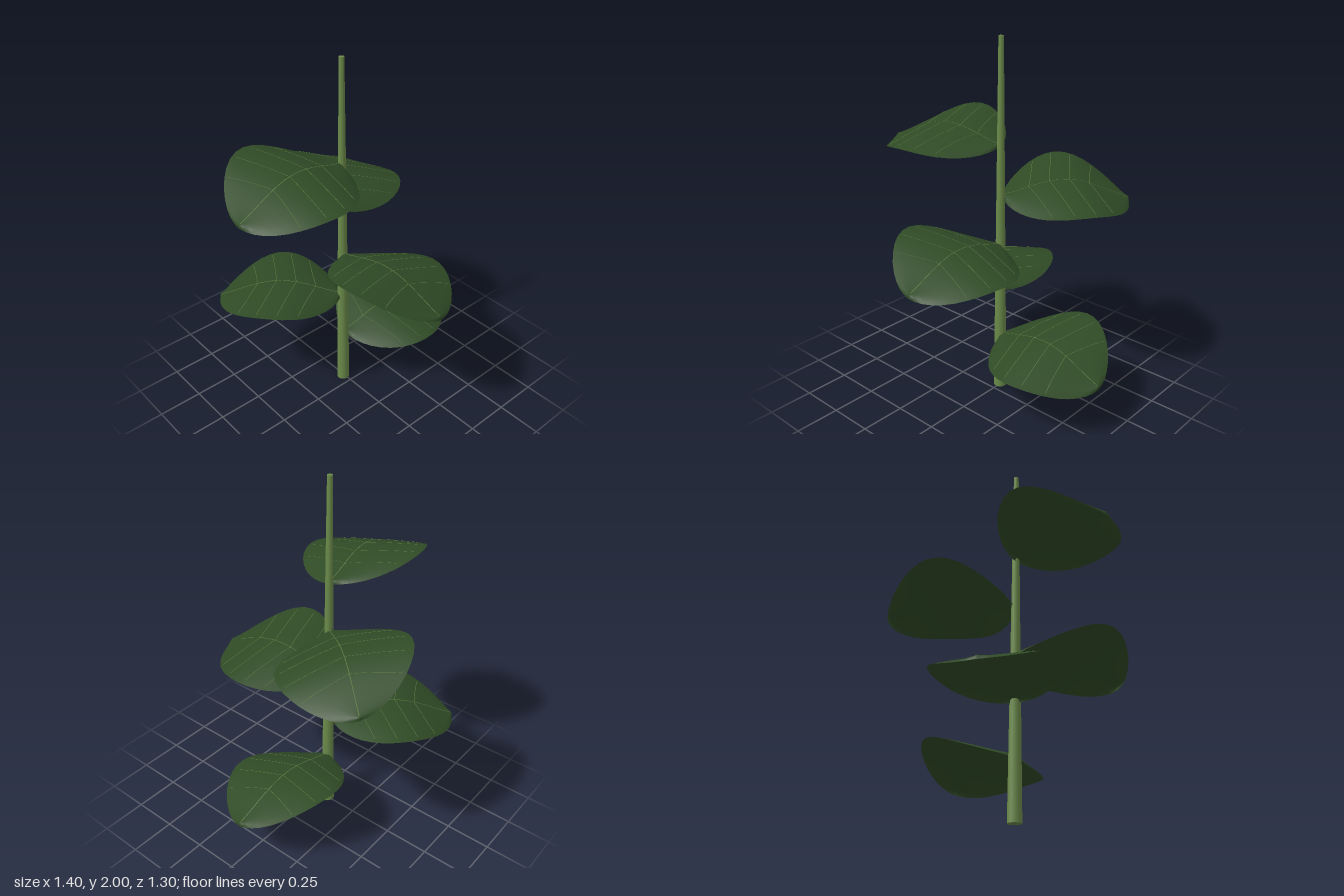
import * as THREE from 'three';

const STEM_X = -0.005, STEM_Z = -0.06;
const LENGTH = 0.69, HALF_WIDTH = 0.335;

// Half width of the blade at t (0 base, 1 tip)
const halfWidth = t => HALF_WIDTH * Math.pow(Math.max(0, Math.sin(Math.PI * t)), 0.58);

// Point on the blade: t along the midrib, u across (-1 to 1), growing along +x
function leafPoint(t, u, roll, lift = 0) {
  const z = u * halfWidth(t);
  const arch = 0.09 * Math.pow(Math.max(0, Math.sin(Math.PI * t)), 1.3) - 0.045 * t;
  const droop = u * u * (0.02 + 0.012 * Math.sin(2 * Math.PI * t));
  return new THREE.Vector3(0.012 + LENGTH * t, arch - droop - roll * z + lift, z);
}

// Blade: a flat grid bent into the leaf surface
function bladeGeometry(roll) {
  const geo = new THREE.PlaneGeometry(1, 2, 20, 12).rotateX(-Math.PI / 2);
  const pos = geo.attributes.position;
  for (let i = 0; i < pos.count; i++) {
    const t = (1 - Math.cos(Math.PI * (pos.getX(i) + 0.5))) / 2;
    const p = leafPoint(t, pos.getZ(i), roll);
    pos.setXYZ(i, p.x, p.y, p.z);
  }
  geo.computeVertexNormals();
  return geo;
}

// Vein: a narrow ribbon lying on the blade between two (t, u) points
function veinGeometry(roll, t0, u0, t1, u1, width) {
  const steps = 14;
  const geo = new THREE.PlaneGeometry(1, 1, steps, 1).rotateX(-Math.PI / 2);
  const pos = geo.attributes.position;
  const at = k => leafPoint(t0 + (t1 - t0) * k, u0 + (u1 - u0) * k, roll, 0.0015);
  for (let i = 0; i < pos.count; i++) {
    const k = pos.getX(i) + 0.5;
    const p = at(k);
    const dir = at(Math.min(1, k + 0.02)).sub(at(Math.max(0, k - 0.02))).setY(0).normalize();
    const side = pos.getZ(i) * width;
    pos.setXYZ(i, p.x - dir.z * side, p.y, p.z + dir.x * side);
  }
  geo.computeVertexNormals();
  return geo;
}

export function createModel() {
  const model = new THREE.Group();
  model.name = 'plant';
  const material = (name, color, side = THREE.FrontSide) => {
    const m = new THREE.MeshStandardMaterial({ color, side });
    m.name = name;
    return m;
  };
  const stemGreen = material('stemGreen', 0x6b8a4a);
  const leafGreen = material('leafGreen', 0x2f4a25, THREE.DoubleSide);
  const veinGreen = material('veinGreen', 0x5c7840, THREE.DoubleSide);

  const add = (parent, name, geo, mat) => {
    const mesh = new THREE.Mesh(geo, mat);
    mesh.name = name;
    parent.add(mesh);
    return mesh;
  };

  // Tapered stem
  add(model, 'stem', new THREE.CylinderGeometry(0.014, 0.037, 2, 12), stemGreen)
    .position.set(STEM_X, 1, STEM_Z);

  // Leaves spiral up the stem by the golden angle, each rolled a little
  const rolls = [0.22, 0.03, -0.21, 0.23, -0.18];
  rolls.forEach((roll, i) => {
    const leaf = new THREE.Group();
    leaf.name = `leaf${i + 1}`;
    leaf.position.set(STEM_X, 0.347 + 0.275 * i, STEM_Z);
    leaf.rotation.y = -THREE.MathUtils.degToRad(2.5 - 137.5 * i);
    add(leaf, 'blade', bladeGeometry(roll), leafGreen);
    add(leaf, 'midrib', veinGeometry(roll, 0, 0, 0.99, 0, 0.004), veinGreen);
    for (const t of [0.2, 0.36, 0.52, 0.68]) {
      for (const side of [-1, 1]) {
        add(leaf, 'sideVein', veinGeometry(roll, t, 0, t + 0.1, 0.92 * side, 0.0025), veinGreen);
      }
    }
    model.add(leaf);
  });
  return model;
}
